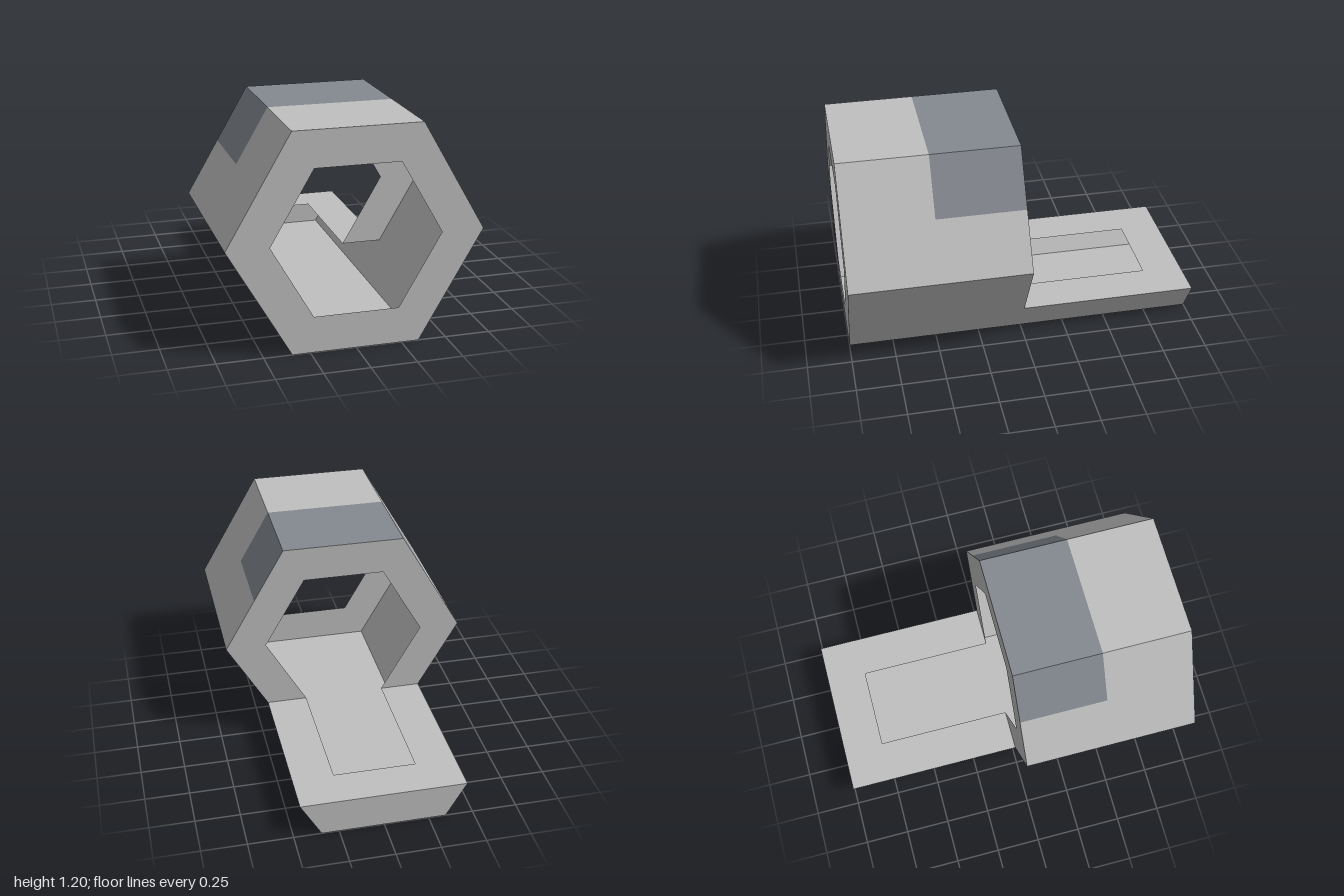
import * as THREE from 'three';

const S = 1 / Math.sqrt(3);
const MID = 0.6;

// Hexagon corners, counterclockwise from the left-hand (+x) point
const hexagon = (apothem) => Array.from({ length: 6 }, (_, i) => {
  const a = (i * Math.PI) / 3, r = 2 * S * apothem;
  return new THREE.Vector2(r * Math.cos(a), MID + r * Math.sin(a));
});

// Thin folded sheet: an open outline swept from z0 to z1
function sheet(points, z0, z1) {
  const pos = [];
  for (let i = 0; i < points.length - 1; i++) {
    const a = points[i], b = points[i + 1];
    pos.push(a.x, a.y, z0, b.x, b.y, z0, b.x, b.y, z1);
    pos.push(a.x, a.y, z0, b.x, b.y, z1, a.x, a.y, z1);
  }
  const geo = new THREE.BufferGeometry();
  geo.setAttribute('position', new THREE.Float32BufferAttribute(pos, 3));
  geo.computeVertexNormals();
  return geo;
}

export function createModel() {
  const group = new THREE.Group();
  const shell = new THREE.MeshStandardMaterial({ color: 0xc0c0c0, side: THREE.DoubleSide });
  shell.name = 'light grey';
  const band = new THREE.MeshStandardMaterial({ color: 0x848990, side: THREE.DoubleSide });
  band.name = 'slate grey';

  const add = (name, geo, material = shell) => {
    const mesh = new THREE.Mesh(geo, material);
    mesh.name = name;
    group.add(mesh);
    return mesh;
  };

  const V = (x, y) => new THREE.Vector2(x, y);
  const outer = hexagon(0.6), inner = hexagon(0.4);
  const [o0, o1, o2, o3, o4, o5] = outer;
  const [i0, i1, i2, i3, i4, i5] = inner;
  const bandL = o0.clone().lerp(o1, 0.5), bandR = o3.clone().lerp(o2, 0.5);
  const trayL = V(0.8 * S, 0.2), trayR = V(-0.8 * S, 0.2);

  // Hollow hexagonal housing
  add('lowerHousing', sheet([o3, o4, o5, o0], 0, 1));
  add('upperHousingFront', sheet([o0, o1, o2, o3], 0.5, 1));
  add('leftHousingRear', sheet([o0, bandL], 0, 0.5));
  add('rightHousingRear', sheet([bandR, o3], 0, 0.5));
  add('darkBand', sheet([bandL, o1, o2, bandR], 0, 0.5), band);

  // Front ring
  const ring = new THREE.Shape(outer);
  ring.holes.push(new THREE.Path(inner));
  add('frontRing', new THREE.ShapeGeometry(ring)).position.z = 1;

  // Rear ring, open at the bottom into the tray
  const rear = new THREE.Shape([trayL, o0, o1, o2, o3, trayR, i4, i3, i2, i1, i0, i5]);
  add('rearRing', new THREE.ShapeGeometry(rear)).rotation.y = Math.PI;

  // Hollow tray behind the housing
  add('trayShell', sheet([trayR, o4, o5, trayL], -1, 0));
  const end = new THREE.Shape([trayR, o4, o5, trayL]);
  const endMesh = add('trayEnd', new THREE.ShapeGeometry(end));
  endMesh.rotation.y = Math.PI;
  endMesh.position.z = -1;

  // Tray rim around a long rectangular opening
  const w = trayL.x, h = 0.4 * S;
  const rim = new THREE.Shape([
    V(-w, 0), V(-h, 0), V(-h, 0.77), V(h, 0.77), V(h, 0), V(w, 0), V(w, 1), V(-w, 1),
  ]);
  const rimMesh = add('trayRim', new THREE.ShapeGeometry(rim));
  rimMesh.rotation.x = -Math.PI / 2;
  rimMesh.position.y = 0.2;

  return group;
}
